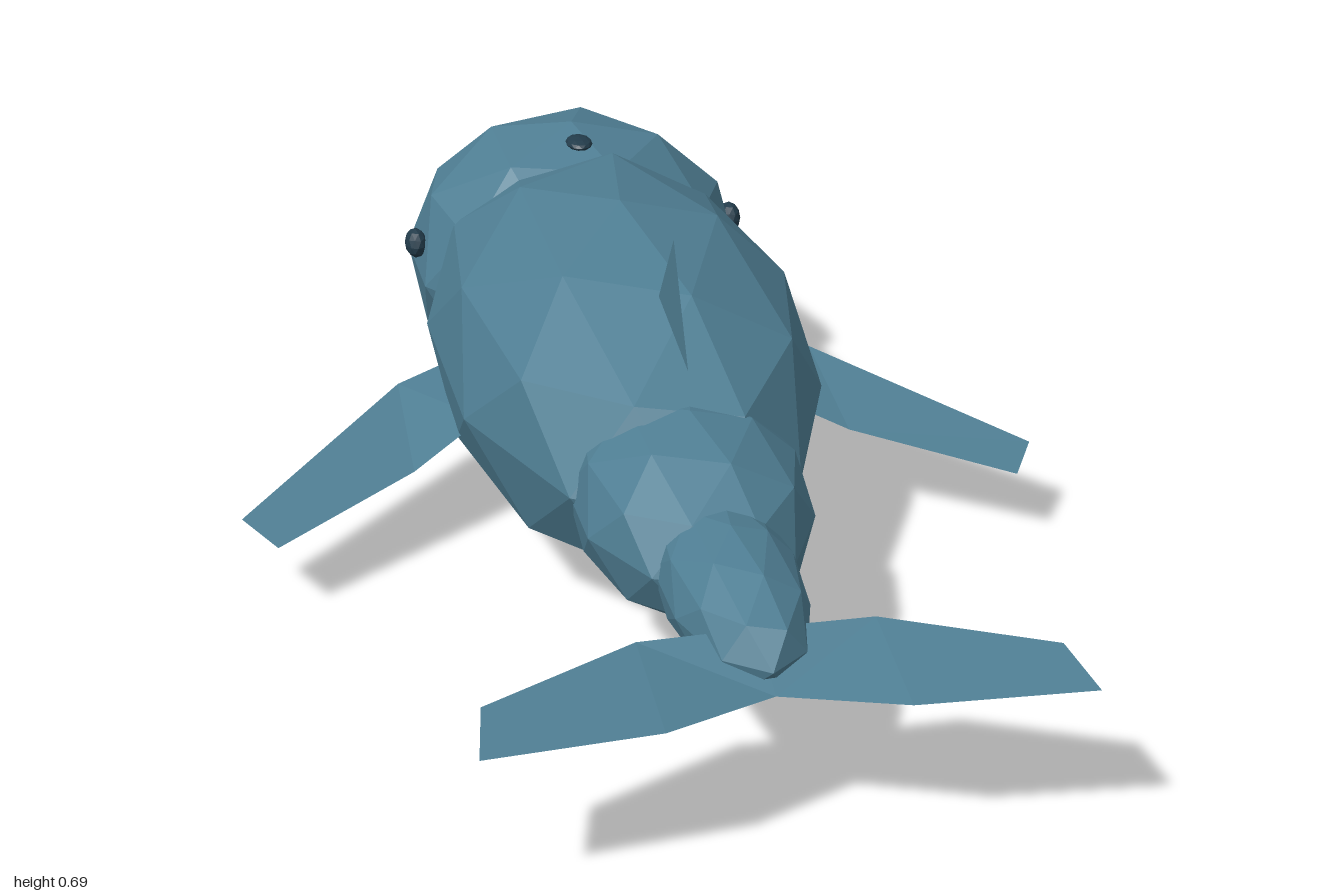
import * as THREE from 'three';

const paint = (name, color) => {
  const m = new THREE.MeshStandardMaterial({ color, flatShading: true, side: THREE.DoubleSide });
  m.name = name;
  return m;
};

// Faceted ellipsoid with an icosahedron corner at each y pole
function blob(name, material, position, radii) {
  const g = new THREE.IcosahedronGeometry(1, 1);
  g.rotateZ(-Math.atan(2 / (1 + Math.sqrt(5))));
  g.scale(...radii);
  g.computeVertexNormals();
  const mesh = new THREE.Mesh(g, material);
  mesh.name = name;
  mesh.position.set(...position);
  return mesh;
}

// Thin faceted fin from a few corners; side = -1 mirrors it across x
function fin(name, material, points, faces, side = 1) {
  const g = new THREE.BufferGeometry();
  const corners = points.map(([x, y, z]) => [x * side, y, z]);
  g.setAttribute('position', new THREE.Float32BufferAttribute(corners.flat(), 3));
  g.setIndex(faces.flatMap(([a, b, c]) => (side > 0 ? [a, b, c] : [a, c, b])));
  const flat = g.toNonIndexed();
  flat.computeVertexNormals();
  const mesh = new THREE.Mesh(flat, material);
  mesh.name = name;
  return mesh;
}

export function createModel() {
  const model = new THREE.Group();
  model.name = 'whale';
  const skin = paint('blueSkin', 0x4f7e93);
  const pale = paint('paleBelly', 0xa0b0ab);
  const dark = paint('darkEye', 0x233c4b);

  // Body, from head to tail
  model.add(
    blob('head', skin, [0, 0.308, -0.67], [0.307, 0.257, 0.33]),
    blob('body', skin, [0, 0.297, -0.235], [0.326, 0.29, 0.64]),
    blob('belly', pale, [0, 0.203, -0.287], [0.27, 0.203, 0.58]),
    blob('tailBase', skin, [0, 0.284, 0.307], [0.195, 0.162, 0.3]),
    blob('tailEnd', skin, [0, 0.281, 0.59], [0.111, 0.105, 0.275]),
    blob('blowhole', dark, [0, 0.552, -0.598], [0.024, 0.01, 0.034])
  );

  // Back fin
  model.add(fin('backFin', skin,
    [[0, 0.69, 0.185], [0, 0.543, 0.075], [0.026, 0.525, 0.135], [0, 0.508, 0.293]],
    [[0, 2, 1], [0, 3, 2], [0, 1, 3], [1, 2, 3]]));

  // Root, bend and tip: leading corners first, trailing corners last
  const strip = [[0, 5, 1], [1, 5, 4], [1, 4, 2], [2, 4, 3]];
  const flipper = [
    [0.25, 0.235, -0.42], [0.375, 0.215, -0.367], [0.69, 0.148, -0.04],
    [0.64, 0.135, 0.05], [0.385, 0.165, -0.12], [0.25, 0.21, -0.21]
  ];
  const fluke = [
    [0, 0.3, 0.76], [0.185, 0.298, 0.76], [0.44, 0.291, 0.885],
    [0.462, 0.273, 1.0], [0.185, 0.265, 0.97], [0, 0.252, 0.882]
  ];

  // Paired parts
  for (const [word, side] of [['left', 1], ['right', -1]]) {
    model.add(
      blob(word + 'Eye', dark, [side * 0.294, 0.358, -0.655], [0.02, 0.027, 0.031]),
      fin(word + 'Flipper', skin, flipper, strip, side),
      fin(word + 'Fluke', skin, fluke, strip, side)
    );
  }
  return model;
}
